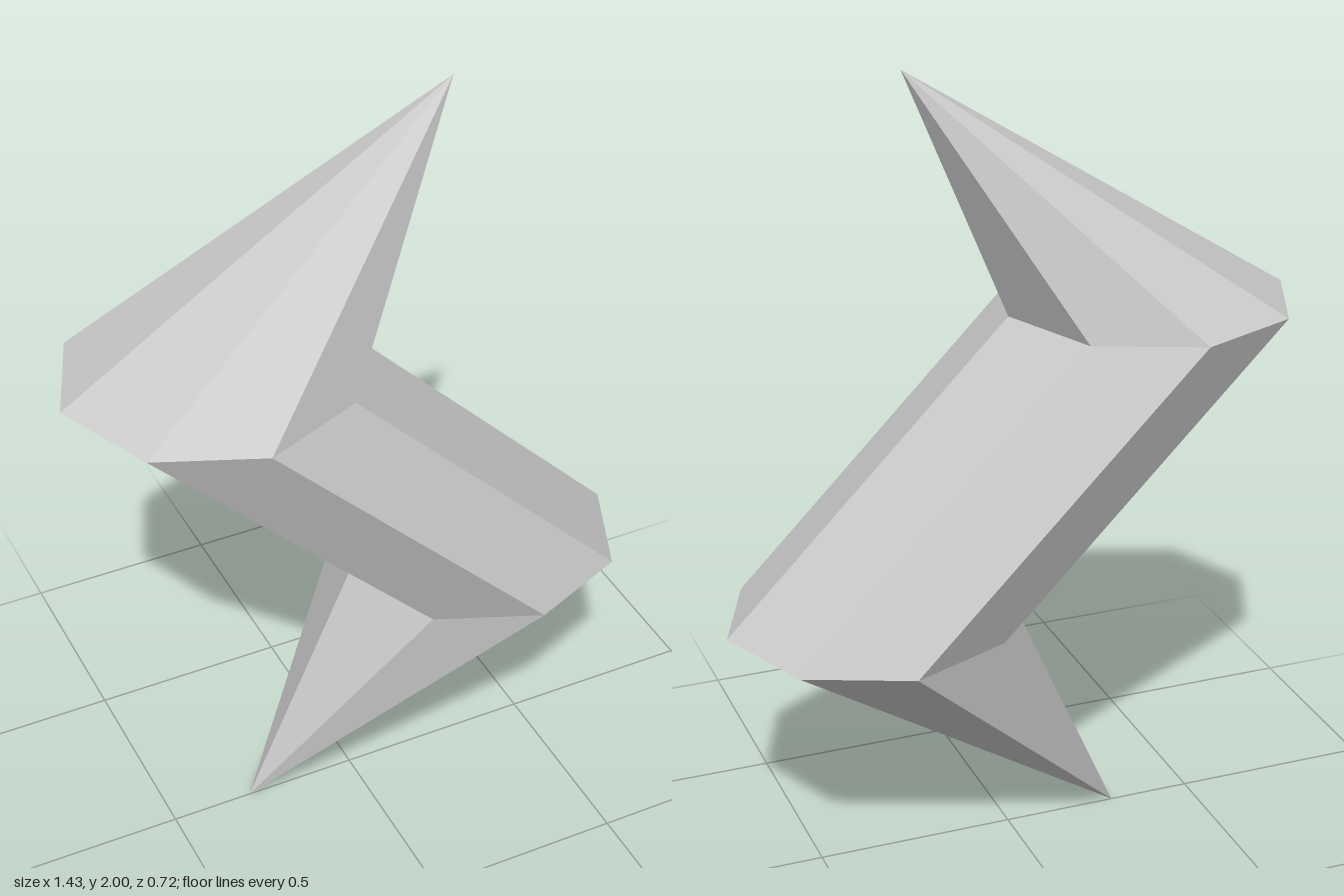
import * as THREE from 'three';

const material = new THREE.MeshStandardMaterial({ color: 0xcccccc, flatShading: true });

// Eight-sided section between two heights, sheared so its axis runs from x0 to x1
function slantedSection(name, bottom, top) {
  const height = top.y - bottom.y;
  const geometry = new THREE.CylinderGeometry(top.r, bottom.r, height, 8, 1, true);
  const shear = new THREE.Matrix4().makeShear(0, 0, (top.x - bottom.x) / height, 0, 0, 0);
  const p = geometry.attributes.position;
  const slope = (top.x - bottom.x) / height;
  for (let i = 0; i < p.count; i++) p.setX(i, p.getX(i) + slope * p.getY(i));
  geometry.translate((top.x + bottom.x) / 2, (top.y + bottom.y) / 2, 0);
  const flat = geometry.toNonIndexed();
  flat.computeVertexNormals();
  const mesh = new THREE.Mesh(flat, material);
  mesh.name = name;
  return mesh;
}

export function createModel() {
  const group = new THREE.Group();
  group.name = 'zigzagBolt';

  // Stations from the lower tip to the upper tip
  const lowerTip = { x: -0.29, y: 0, r: 0 };
  const lowerBend = { x: 0.359, y: 0.655, r: 0.358 };
  const upperBend = { x: -0.359, y: 1.38, r: 0.358 };
  const upperTip = { x: 0.257, y: 2, r: 0 };

  group.add(
    slantedSection('lowerSpike', lowerTip, lowerBend),
    slantedSection('slantedShaft', lowerBend, upperBend),
    slantedSection('upperSpike', upperBend, upperTip),
  );
  return group;
}
